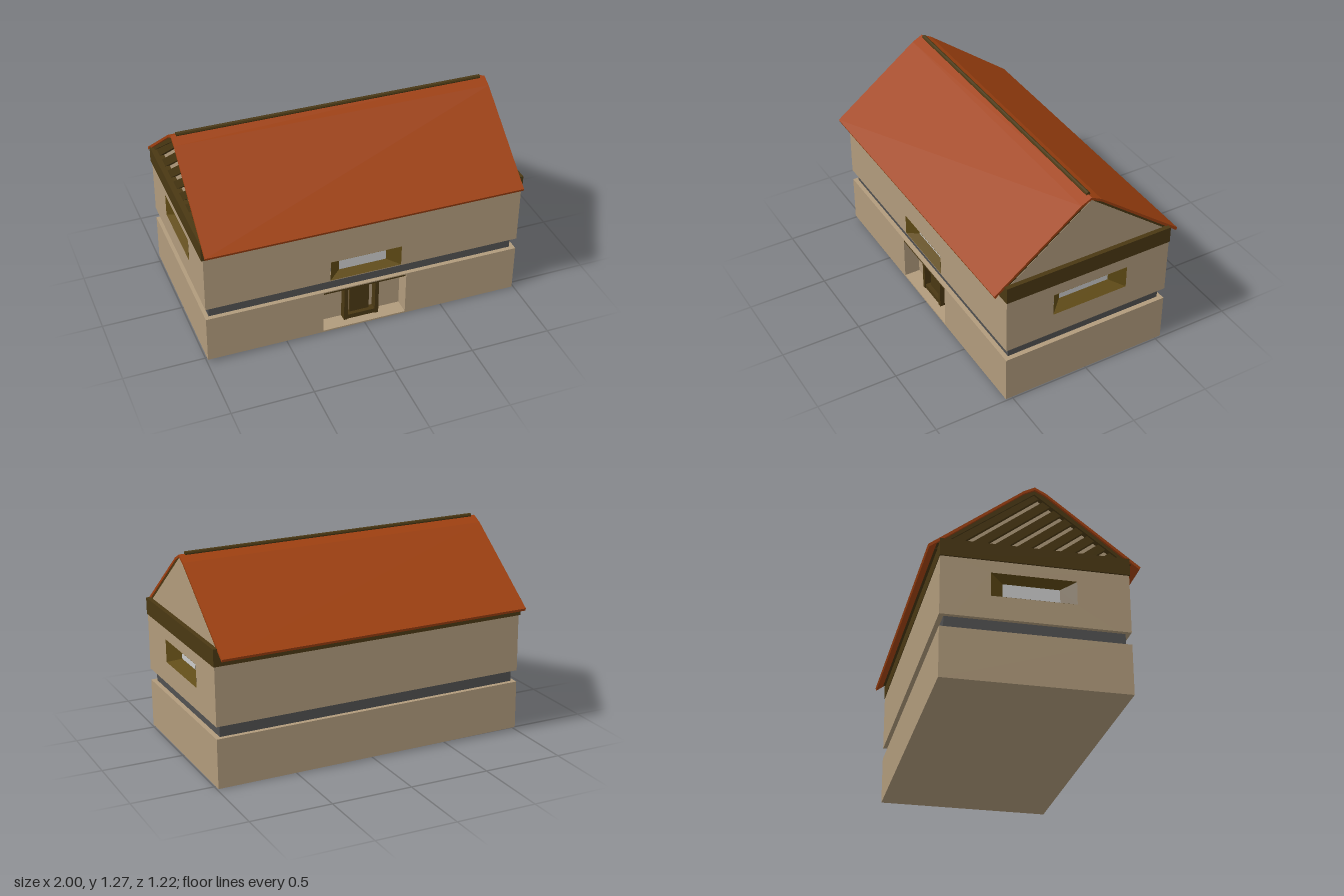
import * as THREE from 'three';

const mat = (color, side = THREE.FrontSide) =>
  new THREE.MeshStandardMaterial({ color, side, flatShading: true });
const wall = mat(0xb19b7c), timber = mat(0x4a3813), tile = mat(0xa04110);
const stone = mat(0x515151), glass = mat(0xcccccc);
const reveal = mat(0x5f4a14, THREE.DoubleSide);

function add(parent, name, geometry, material) {
  const mesh = new THREE.Mesh(geometry, material);
  mesh.name = name;
  parent.add(mesh);
  return mesh;
}

// box given by its limits on each axis
function box(parent, name, [x0, x1], [y0, y1], [z0, z1], material) {
  const g = new THREE.BoxGeometry(x1 - x0, y1 - y0, z1 - z0);
  g.translate((x0 + x1) / 2, (y0 + y1) / 2, (z0 + z1) / 2);
  return add(parent, name, g, material);
}

// profile of [z, y] points extruded along x
function prism(parent, name, points, x0, x1, material) {
  const shape = new THREE.Shape(points.map(([z, y]) => new THREE.Vector2(-z, y)));
  const g = new THREE.ExtrudeGeometry(shape, { depth: x1 - x0, bevelEnabled: false });
  g.rotateY(Math.PI / 2).translate(x0, 0, 0);
  return add(parent, name, g, material);
}

const corners = ([x0, x1], [y0, y1]) => [[x0, y0], [x1, y0], [x1, y1], [x0, y1]];

// wall panel with one rectangular opening, outer face at z = 0
function panel(parent, name, xs, ys, holeX, holeY, depth) {
  const toPoints = list => list.map(p => new THREE.Vector2(...p));
  const shape = new THREE.Shape(toPoints(corners(xs, ys)));
  shape.holes.push(new THREE.Path(toPoints(corners(holeX, holeY))));
  const g = new THREE.ExtrudeGeometry(shape, { depth, bevelEnabled: false });
  return add(parent, name, g.translate(0, 0, -depth), wall);
}

// splayed window lining narrowing from the wall face to the pane
function windowUnit(parent, outX, outY, inX, inY, depth) {
  const o = corners(outX, outY), n = corners(inX, inY), v = [];
  for (let i = 0; i < 4; i++) {
    const j = (i + 1) % 4;
    const a = [...o[i], 0.001], b = [...o[j], 0.001];
    const c = [...n[j], -depth], d = [...n[i], -depth];
    v.push(...a, ...b, ...c, ...a, ...c, ...d);
  }
  const g = new THREE.BufferGeometry();
  g.setAttribute('position', new THREE.Float32BufferAttribute(v, 3));
  g.computeVertexNormals();
  add(parent, 'windowReveal', g, reveal);
  box(parent, 'windowPane', inX, inY, [-depth - 0.01, -depth], glass);
}

export function createModel() {
  const group = new THREE.Group();
  group.name = 'house';
  const X0 = -0.995, X1 = 0.99, Z = 0.54, T = 0.08;

  // ground floor with a door recess
  box(group, 'groundFloor', [X0, X1], [0, 0.302], [-Z, Z - 0.1], wall);
  panel(group, 'groundFloorFront', [X0, X1], [0, 0.302], [-0.27, 0.26], [0.01, 0.295], 0.1)
    .position.z = Z;

  // door with posts, threshold and a splayed lintel
  const door = new THREE.Group();
  door.name = 'entrance';
  door.position.set(-0.007, 0, Z - 0.1);
  group.add(door);
  box(door, 'doorLeaf', [-0.065, 0.06], [0.01, 0.28], [0, 0.02], timber);
  for (const s of [-1, 1])
    box(door, 'doorPost', [s * 0.1 - 0.012, s * 0.1 + 0.012], [0.01, 0.28], [0, 0.05], timber);
  box(door, 'threshold', [-0.112, 0.112], [0.01, 0.04], [0, 0.045], timber);
  prism(door, 'lintel', [[0, 0.262], [0.05, 0.265], [0.1, 0.285], [0.1, 0.295], [0, 0.295]],
    -0.262, 0.262, timber);

  // recessed band between the floors
  box(group, 'band', [-0.97, 0.96], [0.3, 0.378], [-0.512, 0.512], stone);

  // upper floor: windows in the front and both ends, plain back
  const upperY = [0.376, 0.735];
  const front = new THREE.Group();
  front.name = 'upperFront';
  front.position.z = Z;
  group.add(front);
  panel(front, 'upperFrontWall', [X0, X1], upperY, [-0.228, 0.222], [0.382, 0.515], T);
  windowUnit(front, [-0.228, 0.222], [0.382, 0.515], [-0.155, 0.145], [0.405, 0.49], 0.055);
  box(group, 'upperBackWall', [X0, X1], upperY, [-Z, T - Z], wall);
  for (const s of [1, -1]) {
    const end = new THREE.Group();
    end.name = s > 0 ? 'upperLeftEnd' : 'upperRightEnd';
    end.position.x = s > 0 ? X1 : X0;
    end.rotation.y = s * Math.PI / 2;
    group.add(end);
    const span = (a, b) => s > 0 ? [a, b] : [-b, -a];
    const outX = span(-0.235, 0.255), outY = [0.515, 0.658];
    panel(end, 'upperEndWall', [T - Z, Z - T], upperY, outX, outY, T);
    windowUnit(end, outX, outY, span(-0.155, 0.175), [0.55, 0.632], 0.07);
  }

  // timber beam layer under the roof
  box(group, 'eavesBeam', [-1.005, 0.995], [0.732, 0.836], [-0.543, 0.543], timber);

  // roof timber core and tiled covering
  const core = [[0.56, 0.81], [0.065, 1.19], [0, 1.222], [-0.065, 1.19], [-0.56, 0.81]];
  prism(group, 'roofTimber', core, -0.93, 0.95, timber);
  const top = [[0.608, 0.793], [0.065, 1.205], [0, 1.238], [-0.065, 1.205], [-0.608, 0.793]];
  const under = top.map(([z, y]) => [z * 0.99, y - 0.016]).reverse();
  prism(group, 'roofTiles', [...top, ...under], -1, 0.97, tile);

  // timber edging under both roof ends
  const inner = [[-0.505, 0.83], [0, 1.2], [0.505, 0.83]];
  for (const [a, b] of [[-0.985, -0.93], [0.95, 0.965]])
    prism(group, 'roofEdging', [...core, ...inner], a, b, timber);

  // plain gable on one end, slatted gable on the other
  const H = 0.505, base = 0.834, slope = 0.766;
  const triangle = [[-H, base], [H, base], [0, base + H * slope]];
  prism(group, 'plainGable', triangle, 0.95, 0.967, wall);
  prism(group, 'slattedGable', triangle, -0.945, -0.93, wall);
  for (let s = -H; s < H - 0.02; s += 0.126) {
    const e = Math.min(s + 0.08, H);
    const rise = a => [(a + H) / 2, base + slope * (H - a) / 2];
    prism(group, 'gableSlat', [[s, base], [e, base], rise(e), rise(s)], -0.972, -0.945, timber);
  }

  // ridge pole
  const pole = new THREE.CylinderGeometry(0.013, 0.013, 1.905, 8).rotateZ(Math.PI / 2);
  add(group, 'ridgePole', pole, timber).position.set(-0.018, 1.24, 0);

  // the whole house leans very slightly
  group.rotation.z = -0.009;
  group.position.y = 0.009;
  const model = new THREE.Group();
  model.name = 'model';
  model.add(group);
  return model;
}
